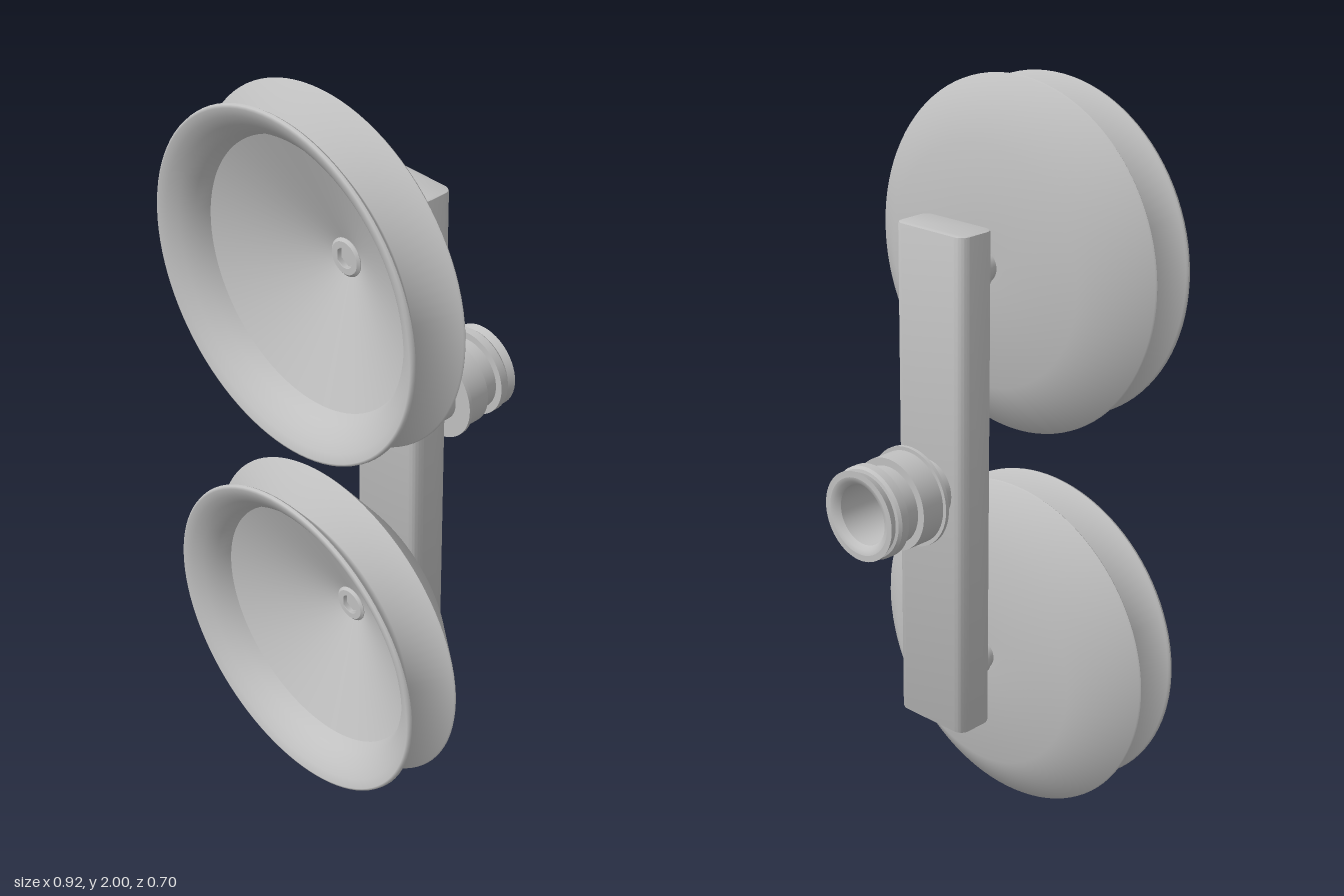
import * as THREE from 'three';
import { mergeGeometries, toCreasedNormals } from 'three/addons/utils/BufferGeometryUtils.js';

const metal = new THREE.MeshStandardMaterial({ color: 0xc0c0c0 });
metal.name = 'grey metal';

// Turned part along z: each band of [radius, z] points is smooth, with sharp edges between bands
function turned(name, bands, sides = 64) {
  const parts = bands.map((band) =>
    new THREE.LatheGeometry(band.map(([r, z]) => new THREE.Vector2(r, z)), sides));
  const geometry = mergeGeometries(parts).rotateX(Math.PI / 2);
  const mesh = new THREE.Mesh(geometry, metal);
  mesh.name = name;
  return mesh;
}

// Splits a profile so that every corner is sharp
const sharp = (points) => points.slice(1).map((p, i) => [points[i], p]);

function createWheel(name, y) {
  const wheel = new THREE.Group();
  wheel.name = name;
  wheel.position.y = y;

  // Grooved rim with a slightly dented back; the rounded front lip slopes down to a conical dish
  wheel.add(turned('pulleyDisc', [
    [[0, 0.098], [0.31, 0.085], [0.457, 0.198], [0.46, 0.202]],
    [[0.46, 0.202], [0.457, 0.206], [0.37, 0.277], [0.442, 0.334], [0.446, 0.34]],
    [[0.446, 0.34], [0.444, 0.347], [0.437, 0.35], [0.415, 0.34], [0.39, 0.323], [0.362, 0.295], [0.347, 0.26]],
    [[0.347, 0.26], [0, 0.112]],
  ], 96));

  // Axle with its collar against the arm
  wheel.add(turned('axle', sharp([
    [0, 0], [0.067, 0], [0.067, 0.03], [0.042, 0.03], [0.042, 0.04],
    [0.05, 0.04], [0.05, 0.075], [0.04, 0.075], [0.04, 0.1],
  ]), 32));

  // Hollow axle end in the dish
  wheel.add(turned('axleCap', sharp([
    [0.05, 0.11], [0.05, 0.135], [0.043, 0.141], [0.027, 0.141],
  ]), 32));
  wheel.add(turned('axleSocket', sharp([[0.027, 0.141], [0.027, 0.128], [0, 0.128]]), 6));
  return wheel;
}

// Upright bar with rounded long edges and nearly square ends
function createArm() {
  const x = 0.109, z = 0.0515, r = 0.022, bevel = 0.006, height = 1.335;
  const section = new THREE.Shape();
  section.absarc(x - r, z - r, r, 0, Math.PI / 2);
  section.absarc(r - x, z - r, r, Math.PI / 2, Math.PI);
  section.absarc(r - x, r - z, r, Math.PI, Math.PI * 1.5);
  section.absarc(x - r, r - z, r, Math.PI * 1.5, Math.PI * 2);
  const bar = new THREE.ExtrudeGeometry(section, {
    depth: height - 2 * bevel, bevelSize: bevel, bevelThickness: bevel, bevelSegments: 2, curveSegments: 6,
  });
  bar.translate(0, 0, bevel - height / 2).rotateX(-Math.PI / 2);
  const arm = new THREE.Mesh(toCreasedNormals(bar, 0.5), metal);
  arm.name = 'arm';
  arm.position.set(-0.003, 1.007, -0.05);
  return arm;
}

export function createModel() {
  const model = new THREE.Group();
  model.name = 'doubleWheelBracket';

  model.add(createWheel('upperWheel', 1.54), createWheel('lowerWheel', 0.462));
  model.add(createArm());

  // Hollow mounting stem behind the arm, from its bore outwards
  const stem = turned('mountingStem', [
    ...sharp([[0, -0.12], [0.078, -0.12], [0.078, -0.335]]),
    [[0.078, -0.335], [0.088, -0.347], [0.1, -0.35]],
    ...sharp([
      [0.1, -0.35], [0.116, -0.35], [0.106, -0.327], [0.114, -0.325], [0.12, -0.318],
      [0.12, -0.295], [0.1, -0.295], [0.1, -0.245], [0.12, -0.245], [0.12, -0.178],
      [0.13, -0.178], [0.13, -0.168], [0.079, -0.168], [0.079, -0.09],
    ]),
  ]);
  stem.position.set(-0.003, 1.005, 0);
  model.add(stem);

  return model;
}
